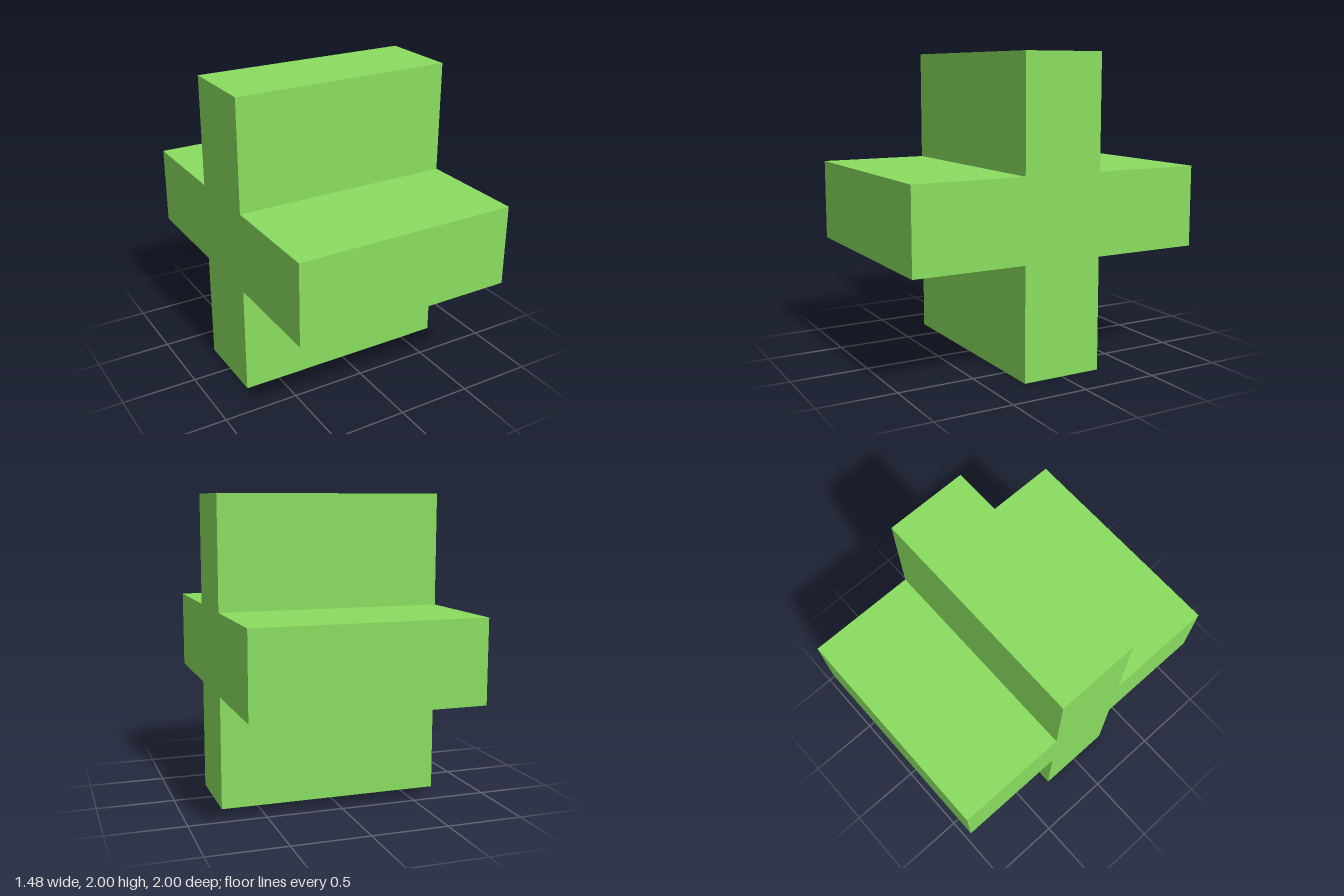
import * as THREE from 'three';

export function createModel() {
  const group = new THREE.Group();
  group.name = 'crossBlock';

  const reach = 1;      // centre to arm tip
  const half = 0.267;   // half the arm thickness
  const width = 1.476;  // extent along x

  // Plus-shaped outline: the same three corners turned through four quarters
  const corners = [[reach, -half], [reach, half], [half, half]];
  const outline = [];
  for (let q = 0; q < 4; q++) {
    for (const [x, y] of corners) {
      outline.push(new THREE.Vector2(x, y).rotateAround(new THREE.Vector2(), q * Math.PI / 2));
    }
  }

  // Solid cross, extruded and turned so that it runs along x
  const geometry = new THREE.ExtrudeGeometry(new THREE.Shape(outline), { depth: width, bevelEnabled: false });
  geometry.translate(0, 0, -width / 2).rotateY(Math.PI / 2).translate(0, reach, 0);

  const cross = new THREE.Mesh(geometry, new THREE.MeshStandardMaterial({ color: 0x8ade60 }));
  cross.name = 'cross';
  group.add(cross);
  return group;
}
